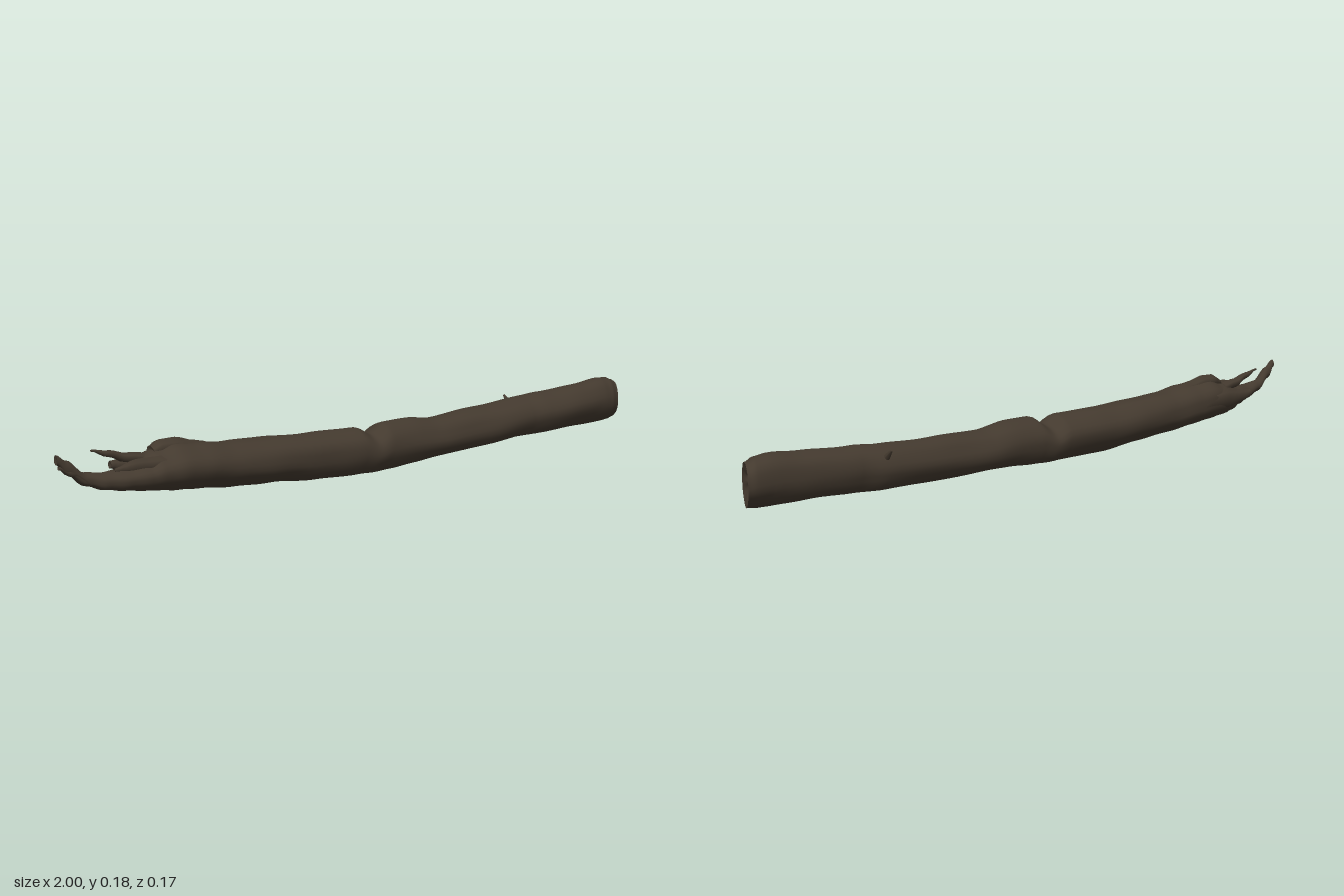
import * as THREE from 'three';

// Cross-sections along the log: [x, bottom y, top y, back z, front z]
const LOG = [
  [-1.0, 0.165, 0.19, -0.003, 0.014], [-0.97, 0.135, 0.172, -0.01, 0.016],
  [-0.92, 0.1, 0.135, -0.014, 0.02], [-0.87, 0.083, 0.128, -0.018, 0.034],
  [-0.81, 0.072, 0.13, -0.038, 0.046], [-0.75, 0.062, 0.14, -0.066, 0.054],
  [-0.71, 0.056, 0.158, -0.08, 0.06], [-0.65, 0.048, 0.172, -0.083, 0.068],
  [-0.58, 0.042, 0.165, -0.081, 0.068], [-0.48, 0.033, 0.152, -0.077, 0.067],
  [-0.36, 0.024, 0.149, -0.074, 0.068], [-0.22, 0.012, 0.141, -0.066, 0.074],
  [-0.07, 0.006, 0.139, -0.055, 0.079], [-0.02, 0.005, 0.116, -0.052, 0.081],
  [0.03, 0.007, 0.14, -0.05, 0.083], [0.12, 0.012, 0.141, -0.05, 0.084],
  [0.22, 0.015, 0.13, -0.052, 0.083], [0.4, 0.018, 0.136, -0.055, 0.078],
  [0.58, 0.025, 0.144, -0.06, 0.074], [0.66, 0.027, 0.15, -0.048, 0.078],
  [0.8, 0.032, 0.16, -0.038, 0.08], [0.92, 0.035, 0.168, -0.036, 0.08],
  [0.97, 0.036, 0.165, -0.036, 0.077], [1.0, 0.04, 0.155, -0.033, 0.07],
];

// Splinters and stubs, given as the same kind of cross-sections
const SPLINTERS = {
  upperSplinter: [[-0.88, 0.176, 0.181, -0.033, -0.028], [-0.83, 0.155, 0.173, -0.038, -0.018],
    [-0.78, 0.135, 0.16, -0.045, -0.01], [-0.7, 0.115, 0.15, -0.05, 0.0]],
  backSplinter: [[-0.795, 0.112, 0.132, -0.088, -0.07], [-0.76, 0.1, 0.135, -0.088, -0.06],
    [-0.7, 0.085, 0.145, -0.087, -0.035], [-0.6, 0.075, 0.14, -0.081, -0.02]],
  tornRidge: [[-0.71, 0.145, 0.168, -0.04, 0.0], [-0.685, 0.14, 0.183, -0.044, 0.008],
    [-0.64, 0.13, 0.185, -0.042, 0.012], [-0.58, 0.125, 0.17, -0.035, 0.012],
    [-0.5, 0.12, 0.145, -0.03, 0.01]],
  frontSplinter: [[-0.84, 0.125, 0.135, 0.01, 0.018], [-0.78, 0.115, 0.15, 0.002, 0.032],
    [-0.7, 0.11, 0.15, 0.0, 0.045], [-0.62, 0.1, 0.14, 0.0, 0.05]],
  tipSplinter: [[-0.995, 0.152, 0.162, 0.004, 0.012], [-0.96, 0.13, 0.15, -0.004, 0.018],
    [-0.9, 0.095, 0.12, -0.01, 0.022]],
};

// Interpolated cross-section at t (0 to 1) along the list
function sectionAt(stations, t) {
  const f = t * (stations.length - 1);
  const i = Math.min(Math.floor(f), stations.length - 2);
  const u = f - i, s = u * u * (3 - 2 * u);
  return stations[i].map((v, k) => v + (stations[i + 1][k] - v) * (k ? s : u));
}

// Slow bark waves that run along the grain
function bark(a, x) {
  return Math.sin(3 * a + 5 * x) * 0.022 + Math.sin(5 * a - 9 * x + 1) * 0.018
    + Math.sin(8 * a + 3 * x) * 0.01 + Math.sin(2 * a + 23 * x) * 0.014;
}

// Slanted saw cut at the thick end
function slant(x, z) {
  return x - 0.5 * (z + 0.035) * THREE.MathUtils.smoothstep(x, 0.8, 1);
}

function ringPoint(section, j, sides, rough, size = 1) {
  const [x, y0, y1, z0, z1] = section;
  const a = (j / sides) * Math.PI * 2;
  const r = size * (0.99 + rough * bark(a, x));
  const z = (z0 + z1) / 2 + ((z1 - z0) / 2) * Math.sin(a) * r;
  return [slant(x, z), (y0 + y1) / 2 + ((y1 - y0) / 2) * Math.cos(a) * r, z];
}

// Skin through a list of rings of points
function skin(rings) {
  const n = rings[0].length, index = [];
  for (let i = 0; i < rings.length - 1; i++) {
    for (let j = 0; j < n; j++) {
      const a = i * n + j, b = i * n + ((j + 1) % n);
      index.push(a, b, a + n, b, b + n, a + n);
    }
  }
  const g = new THREE.BufferGeometry();
  g.setAttribute('position', new THREE.Float32BufferAttribute(rings.flat(2), 3));
  g.setIndex(index);
  g.computeVertexNormals();
  return g;
}

function loft(stations, steps, sides, rough) {
  const rings = [];
  for (let i = 0; i <= steps; i++) {
    const s = sectionAt(stations, i / steps);
    rings.push(Array.from({ length: sides }, (_, j) => ringPoint(s, j, sides, rough)));
  }
  return skin(rings);
}

// End face of concentric rings; dip pushes the middle along x
function endFace(section, sides, rough, dip, atStart) {
  const rings = [1, 0.75, 0.45, 0.002].map((size, k) =>
    Array.from({ length: sides }, (_, j) => {
      const p = ringPoint(section, j, sides, rough, size);
      const wave = k === 1 || k === 2 ? Math.sin(j * 1.3 + k) * 0.3 : 0;
      p[0] += dip * (1 - size) * (1 + wave);
      return p;
    }));
  return skin(atStart ? rings.reverse() : rings);
}

export function createModel() {
  const group = new THREE.Group();
  group.name = 'brokenLog';
  const wood = new THREE.MeshStandardMaterial({ color: 0x443a2f });
  wood.name = 'darkBark';
  const add = (name, geometry) => {
    const mesh = new THREE.Mesh(geometry, wood);
    mesh.name = name;
    group.add(mesh);
  };

  // Main trunk and its two ends
  add('trunk', loft(LOG, 138, 28, 1));
  add('cutEnd', endFace(LOG[LOG.length - 1], 28, 1, -0.02, false));
  add('brokenTip', endFace(LOG[0], 28, 1, 0.002, true));

  // Torn wood at the broken end
  for (const [name, stations] of Object.entries(SPLINTERS)) {
    add(name, loft(stations, 12, 7, 2));
    add(name + 'End', endFace(stations[0], 7, 2, 0.004, true));
  }

  // Short twig stub on the back
  const twig = new THREE.CylinderGeometry(0.003, 0.012, 0.04, 7);
  twig.rotateX(-0.8);
  twig.translate(0.585, 0.125, -0.05);
  add('twigStub', twig);
  return group;
}
